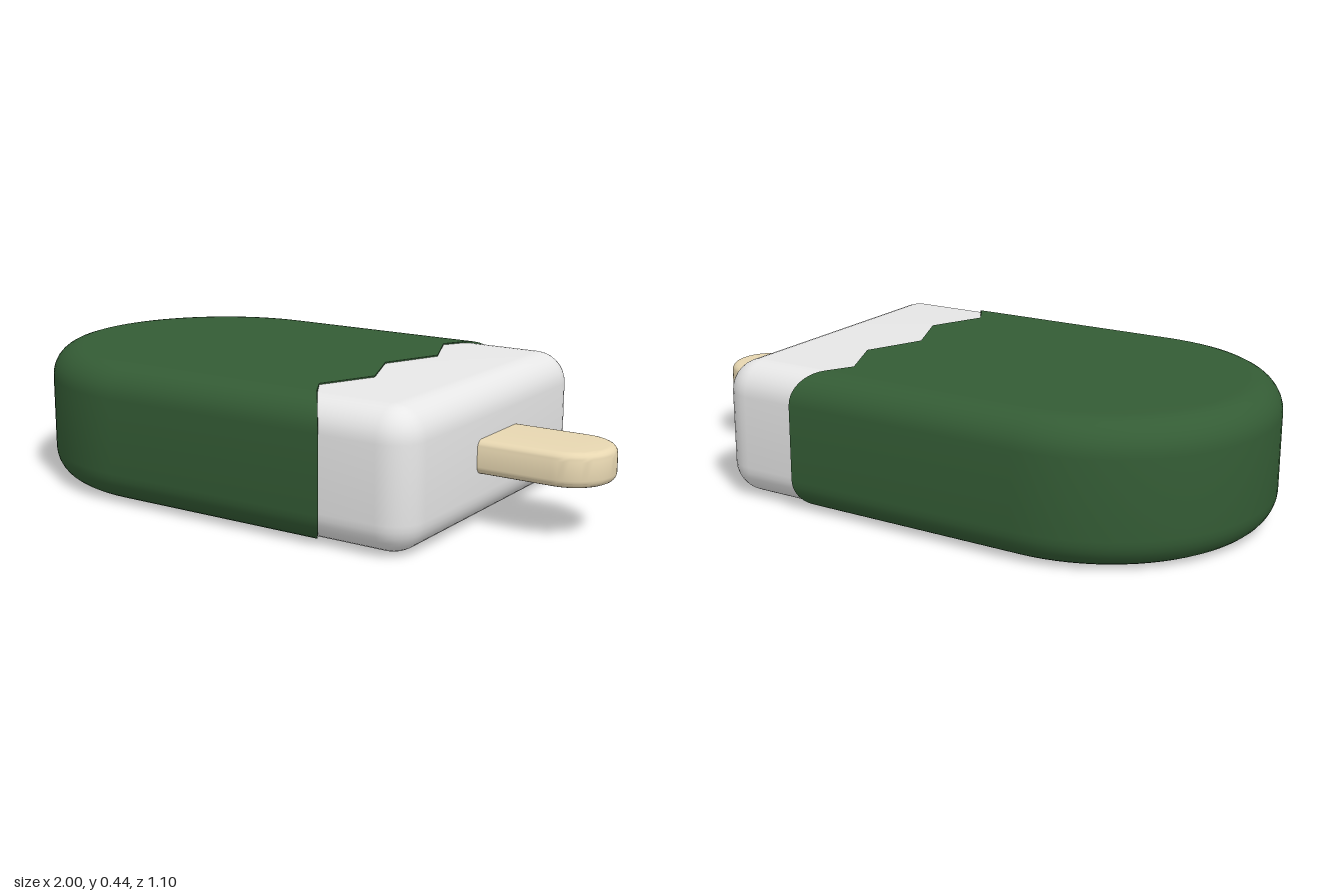
import * as THREE from 'three';
import { toCreasedNormals } from 'three/addons/utils/BufferGeometryUtils.js';

// Points on an arc in plan, as [x, w] with w = -z
function arc(cx, cw, r, from, to, n) {
  return Array.from({ length: n + 1 }, (_, i) => {
    const a = (from + (to - from) * i / n) * Math.PI;
    return [cx + r * Math.cos(a), cw + r * Math.sin(a)];
  });
}

// Slab with rounded rims: outline(d) gives the counter-clockwise plan inset by d
function roundedSlab(outline, y0, y1, r, steps = 8) {
  const rings = [];
  for (const side of [-1, 1]) {
    for (let i = 0; i <= steps; i++) {
      const a = (side < 0 ? i / steps - 1 : i / steps) * Math.PI / 2;
      const base = side < 0 ? y0 + r : y1 - r;
      rings.push({ pts: outline(r * (1 - Math.cos(a))), y: base + r * Math.sin(a) });
    }
  }
  const n = rings[0].pts.length;
  const pos = [], index = [];
  rings.forEach(({ pts, y }) => pts.forEach(([x, w]) => pos.push(x, y, -w)));
  for (let k = 0; k < rings.length - 1; k++) {
    for (let i = 0; i < n; i++) {
      const a = k * n + i, b = k * n + (i + 1) % n;
      index.push(a, b, b + n, a, b + n, a + n);
    }
  }
  // Flat bottom and top
  const cap = THREE.ShapeUtils.triangulateShape(rings[0].pts.map(p => new THREE.Vector2(...p)), []);
  const top = (rings.length - 1) * n;
  for (const [a, b, c] of cap) index.push(a, c, b, top + a, top + b, top + c);
  const g = new THREE.BufferGeometry();
  g.setAttribute('position', new THREE.Float32BufferAttribute(pos, 3));
  g.setIndex(index);
  return toCreasedNormals(g, 0.6);
}

// Bitten edge of the coating: x at a distance |z| from the centre line
const bite = [[0, 0.22], [0.19, 0.3], [0.37, 0.22], [0.45, 0.265], [0.55, 0.337]];
function biteX(z) {
  const k = Math.max(1, bite.findIndex(p => p[0] >= z - 1e-6));
  const [z0, x0] = bite[k - 1], [z1, x1] = bite[k];
  return x0 + (x1 - x0) * (z - z0) / (z1 - z0);
}

function coatingOutline(d) {
  const h = 0.55 - d;
  const edge = [-h, -0.37, -0.19, 0, 0.19, 0.37, h].map(w => [biteX(Math.abs(w)), w]);
  return [...edge, ...arc(-0.45, 0, h, 0.5, 1.5, 40)];
}

function fillingOutline(d) {
  const h = 0.54, c = 0.105, x = 0.625 - c, w = h - c;
  return [
    ...arc(x, -w, c - d, -0.5, 0, 8),
    ...arc(x, w, c - d, 0, 0.5, 8),
    ...arc(-0.45, 0, h - d, 0.5, 1.5, 40),
  ];
}

function stickOutline(d) {
  return [[0.45, 0.135 - d], [0.45, d - 0.135], ...arc(0.865, 0, 0.135 - d, -0.5, 0.5, 24)];
}

export function createModel() {
  const group = new THREE.Group();
  group.name = 'icePop';

  const material = (name, color) => {
    const m = new THREE.MeshStandardMaterial({ color });
    m.name = name;
    return m;
  };
  const add = (name, geometry, mat) => {
    const mesh = new THREE.Mesh(geometry, mat);
    mesh.name = name;
    group.add(mesh);
  };

  add('coating', roundedSlab(coatingOutline, 0, 0.442, 0.1), material('green', 0x345c35));
  add('filling', roundedSlab(fillingOutline, 0.004, 0.438, 0.1), material('white', 0xeeeeee));
  add('stick', roundedSlab(stickOutline, 0.17, 0.276, 0.025, 5), material('wood', 0xf0dfb8));
  return group;
}
